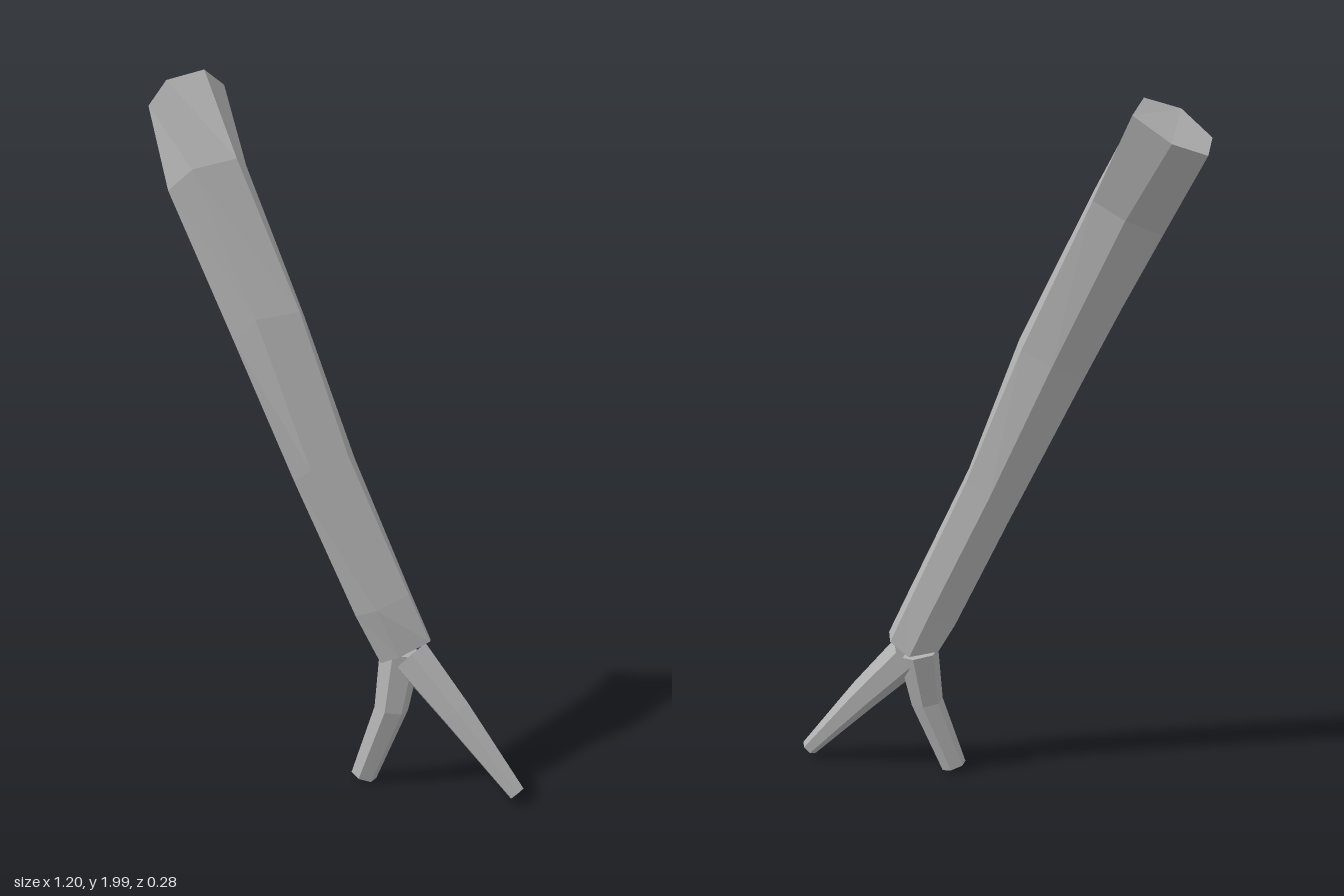
import * as THREE from 'three';

// Closed faceted skin through rings listed from top to bottom,
// each ring running counter-clockwise when seen from above.
function loft(rings) {
  const n = rings[0].length;
  const pos = [];
  const tri = (...pts) => pts.forEach((p) => pos.push(...p));
  for (let i = 0; i < rings.length - 1; i++) {
    const a = rings[i], b = rings[i + 1];
    for (let j = 0; j < n; j++) {
      const k = (j + 1) % n;
      tri(a[j], b[j], b[k]);
      tri(a[j], b[k], a[k]);
    }
  }
  const top = rings[0], end = rings[rings.length - 1];
  for (let j = 1; j < n - 1; j++) {
    tri(top[0], top[j], top[j + 1]);
    tri(end[0], end[j + 1], end[j]);
  }
  const geo = new THREE.BufferGeometry();
  geo.setAttribute('position', new THREE.Float32BufferAttribute(pos, 3));
  geo.computeVertexNormals();
  return geo;
}

// Six-sided ring around a centre; (ux, uy) points back up the twig.
function hexRing([x, y, z, r, ux, uy], phase) {
  const len = Math.hypot(ux, uy);
  return Array.from({ length: 6 }, (_, j) => {
    const t = phase + (j * Math.PI) / 3;
    const s = (r * Math.sin(t)) / len;
    return [x + s * uy, y - s * ux, z + r * Math.cos(t)];
  });
}

export function createModel() {
  const group = new THREE.Group();
  const bark = new THREE.MeshStandardMaterial({ color: 0xb0b0b0, flatShading: true });
  bark.name = 'grey bark';
  const add = (name, rings) => {
    const mesh = new THREE.Mesh(loft(rings), bark);
    mesh.name = name;
    group.add(mesh);
  };

  // Main branch, bent and tapering downwards
  add('mainBranch', [
    [[-0.51, 1.97, 0.02], [-0.42, 2.0, -0.04], [-0.405, 1.96, -0.13], [-0.51, 1.89, -0.14], [-0.6, 1.86, -0.11], [-0.6, 1.9, -0.03]],
    [[-0.375, 1.72, 0.115], [-0.28, 1.75, 0.03], [-0.29, 1.73, -0.045], [-0.38, 1.68, -0.055], [-0.47, 1.64, -0.01], [-0.48, 1.66, 0.07]],
    [[-0.17, 1.31, 0.133], [-0.07, 1.33, 0.06], [-0.09, 1.31, -0.01], [-0.18, 1.27, -0.025], [-0.26, 1.23, 0.02], [-0.26, 1.25, 0.1]],
    [[0.0, 0.9, 0.137], [0.08, 0.94, 0.067], [0.07, 0.92, 0.0], [0.0, 0.88, -0.015], [-0.07, 0.85, 0.025], [-0.07, 0.86, 0.1]],
    [[0.19, 0.52, 0.117], [0.26, 0.56, 0.055], [0.245, 0.54, -0.005], [0.18, 0.51, -0.018], [0.11, 0.48, 0.018], [0.115, 0.49, 0.09]],
    [[0.25, 0.39, 0.095], [0.32, 0.43, 0.045], [0.3, 0.42, -0.01], [0.24, 0.38, -0.02], [0.18, 0.36, 0.01], [0.185, 0.36, 0.075]],
  ]);

  // Straight twig reaching out to the left
  add('outerTwig', [
    [0.255, 0.375, 0.02, 0.06, -0.7, 0.7],
    [0.395, 0.232, 0.03, 0.047, -0.68, 0.73],
    [0.58, 0.032, 0.043, 0.025, -0.68, 0.73],
  ].map((r) => hexRing(r, Math.PI / 6)));

  // Short kinked twig turning back downwards
  add('innerTwig', [
    [0.22, 0.385, 0.013, 0.06, 0.15, 1],
    [0.203, 0.222, 0.04, 0.048, 0.15, 1],
    [0.125, 0.018, 0.053, 0.037, 0.33, 0.94],
  ].map((r) => hexRing(r, 0)));

  return group;
}
